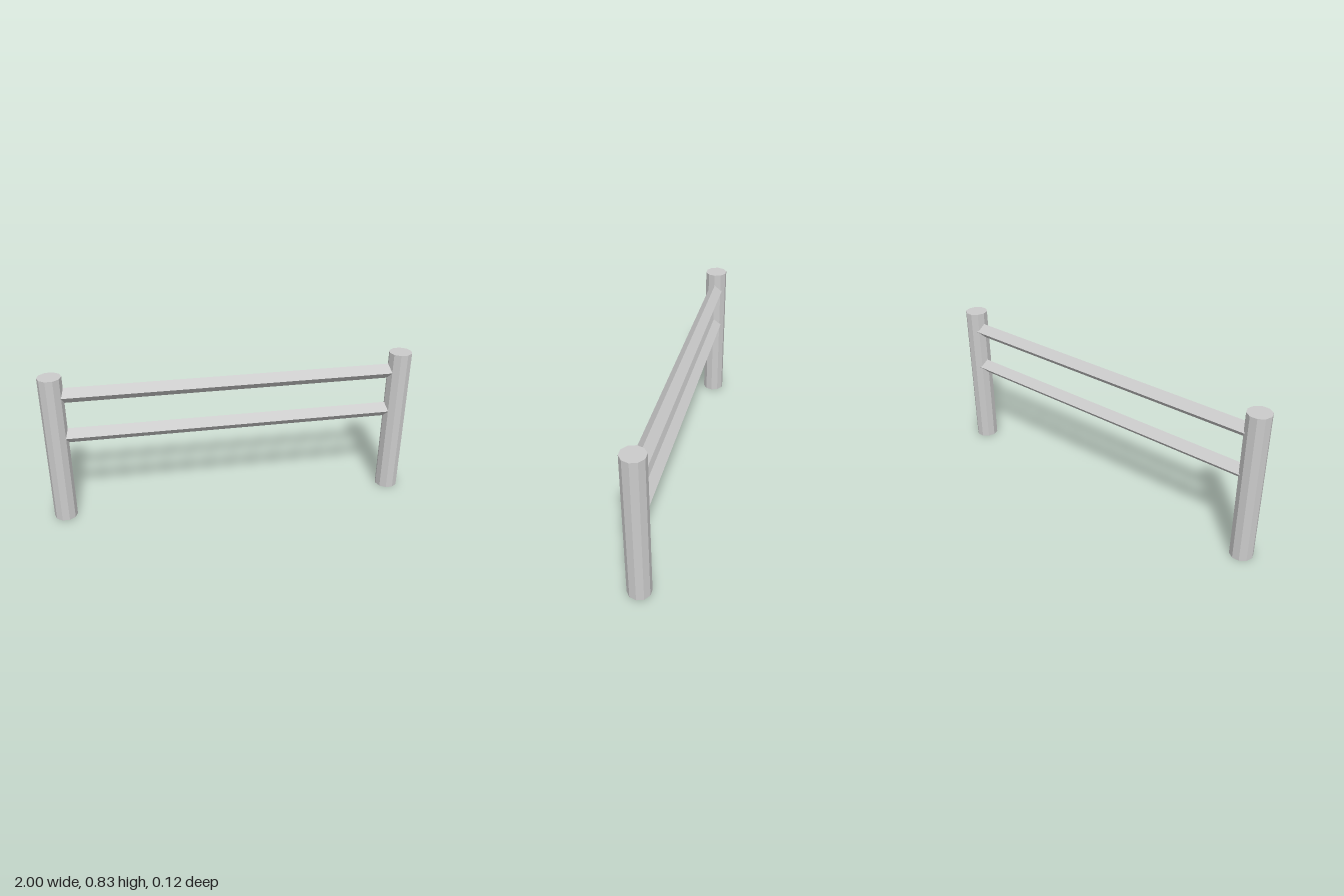
import * as THREE from 'three';

const material = new THREE.MeshStandardMaterial({ color: 0xcccccc, flatShading: true });

function addPart(group, name, geometry, x, y, z) {
  const mesh = new THREE.Mesh(geometry, material);
  mesh.name = name;
  mesh.position.set(x, y, z);
  group.add(mesh);
}

export function createModel() {
  const group = new THREE.Group();
  group.name = 'railFence';

  const postRadius = 0.0625;
  const postHeight = 0.835;
  const postX = 1 - postRadius;

  // Ten-sided posts with a corner pointing along x
  const post = new THREE.CylinderGeometry(postRadius, postRadius, postHeight, 10).rotateY(Math.PI / 2);
  addPart(group, 'leftPost', post, postX, postHeight / 2, 0);
  addPart(group, 'rightPost', post, -postX, postHeight / 2, 0);

  // Square rails set on edge, ending inside the posts
  const rail = new THREE.CylinderGeometry(0.042, 0.042, 2 * postX, 4).rotateZ(Math.PI / 2);
  addPart(group, 'upperRail', rail, 0, 0.727, -0.003);
  addPart(group, 'lowerRail', rail, 0, 0.494, -0.003);

  return group;
}
